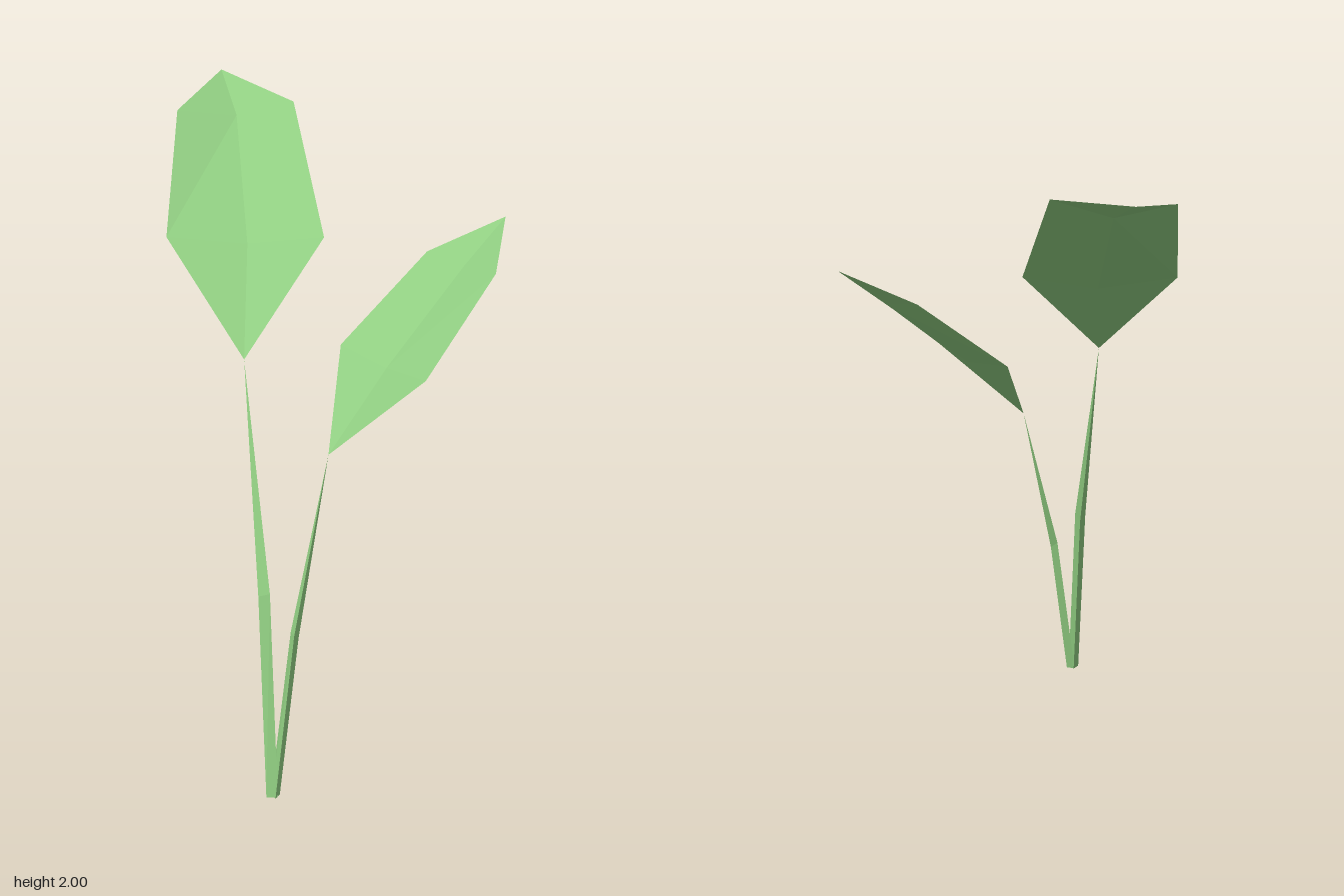
import * as THREE from 'three';

const leafGreen = new THREE.MeshStandardMaterial({ color: 0x90cd81, flatShading: true, side: THREE.DoubleSide });
leafGreen.name = 'leaf green';

// Faceted mesh from triangles given as lists of three points
function facetMesh(name, triangles) {
  const geometry = new THREE.BufferGeometry();
  geometry.setAttribute('position', new THREE.Float32BufferAttribute(triangles.flat(2), 3));
  geometry.computeVertexNormals();
  const mesh = new THREE.Mesh(geometry, leafGreen);
  mesh.name = name;
  return mesh;
}

// Leaf blade folded along its midrib: rows of [left, rib, right] between base and tip
function leaf(name, base, rows, tip) {
  const sections = [[base, base, base], ...rows, [tip, tip, tip]];
  const triangles = [];
  for (let i = 0; i < sections.length - 1; i++) {
    const low = sections[i], high = sections[i + 1];
    for (let j = 0; j < 2; j++) {
      if (low[j] !== low[j + 1]) triangles.push([low[j], low[j + 1], high[j + 1]]);
      if (high[j] !== high[j + 1]) triangles.push([low[j], high[j + 1], high[j]]);
    }
  }
  return facetMesh(name, triangles);
}

// Three-sided stem: foot ring, bend ring, then a point where the leaf starts
function stem(name, foot, bend, top) {
  const triangles = [[foot[0], foot[2], foot[1]]];
  for (let i = 0; i < 3; i++) {
    const k = (i + 1) % 3;
    triangles.push([foot[i], foot[k], bend[k]], [foot[i], bend[k], bend[i]], [bend[i], bend[k], top]);
  }
  return facetMesh(name, triangles);
}

export function createModel() {
  const sprout = new THREE.Group();
  sprout.name = 'sprout';

  // Tall shoot leaning to the model's right
  const tallTop = [0.12, 1.325, 0.3];
  const tallShoot = new THREE.Group();
  tallShoot.name = 'tallShoot';
  tallShoot.add(
    stem('tallStem',
      [[0.41, 0, 0.515], [0.435, 0, 0.49], [0.405, 0, 0.485]],
      [[0.31, 0.64, 0.442], [0.338, 0.65, 0.42], [0.305, 0.63, 0.41]],
      tallTop),
    leaf('largeLeaf', tallTop, [
      [[-0.24, 1.63, 0.27], [-0.075, 1.6, 0.08], [0.12, 1.63, -0.06]],
      [[-0.48, 1.94, 0.02 - 0.04], [-0.38, 1.91, -0.19], [-0.23, 1.96, -0.3]],
    ], [-0.61, 2, -0.355]));

  // Short shoot leaning backwards
  const shortTop = [0.385, 1.06, 0.21];
  const shortShoot = new THREE.Group();
  shortShoot.name = 'shortShoot';
  shortShoot.add(
    stem('shortStem',
      [[0.405, 0, 0.49], [0.435, 0, 0.5], [0.43, 0, 0.475]],
      [[0.397, 0.53, 0.39], [0.425, 0.53, 0.405], [0.42, 0.51, 0.38]],
      shortTop),
    leaf('smallLeaf', shortTop, [
      [[0.22, 1.31, 0.03 - 0.06], [0.415, 1.285, -0.02], [0.605, 1.305, 0.025]],
      [[0.305, 1.56, -0.34], [0.445, 1.54, -0.35], [0.602, 1.56, -0.305]],
    ], [0.475, 1.67, -0.515]));

  sprout.add(tallShoot, shortShoot);
  return sprout;
}
